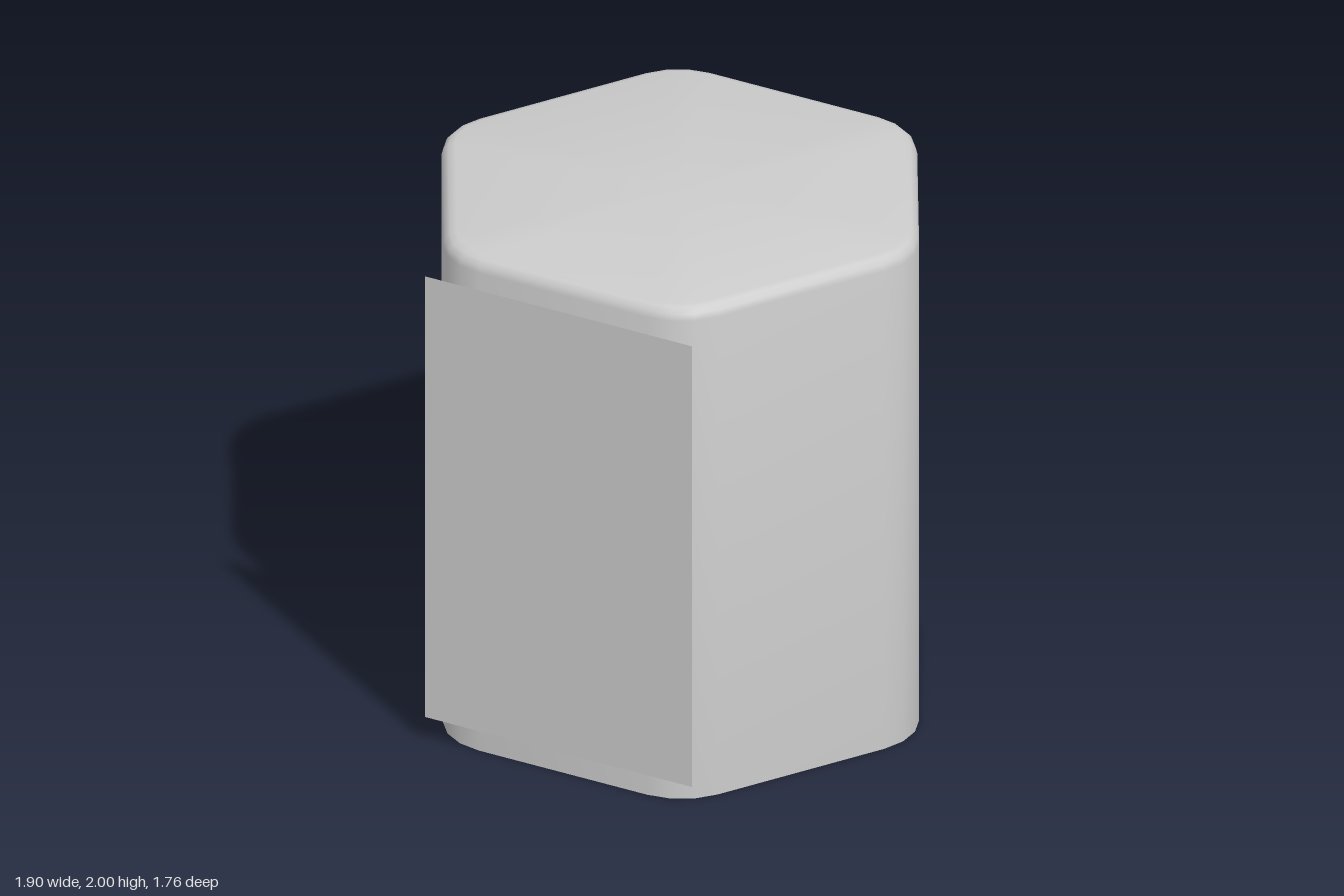
import * as THREE from 'three';
import { toCreasedNormals } from 'three/addons/utils/BufferGeometryUtils.js';

const APOTHEM = 0.861, CORNER = 0.255, CORNER_STEPS = 3;

// Rounded hexagon outline, moved inwards by inset
function outline(inset) {
  const r = CORNER - inset;
  const centre = (APOTHEM - CORNER) / Math.cos(Math.PI / 6);
  const points = [];
  for (let i = 0; i < 6; i++) {
    const corner = i * Math.PI / 3;
    for (let j = 0; j <= CORNER_STEPS; j++) {
      const a = corner + (j / CORNER_STEPS - 0.5) * Math.PI / 3;
      points.push([
        centre * Math.cos(corner) + r * Math.cos(a),
        centre * Math.sin(corner) + r * Math.sin(a),
      ]);
    }
  }
  return points;
}

// Stack of outlines, closed with a fan at both ends
function bodyGeometry() {
  const bevel = 0.05;
  const levels = [[0, 0]];
  for (let k = 0; k <= 3; k++) {
    const t = k / 3 * Math.PI / 2;
    levels.push([2 - bevel + bevel * Math.sin(t), bevel * (1 - Math.cos(t))]);
  }
  const positions = [], index = [];
  for (const [y, inset] of levels) {
    for (const [x, z] of outline(inset)) positions.push(x, y, z);
  }
  const n = 6 * (CORNER_STEPS + 1);
  const last = (levels.length - 1) * n;
  const bottom = levels.length * n, top = bottom + 1;
  positions.push(0, 0, 0, 0, 2, 0);
  for (let i = 0; i < n; i++) {
    const j = (i + 1) % n;
    for (let k = 0; k < last; k += n) {
      index.push(k + i, k + n + i, k + j, k + j, k + n + i, k + n + j);
    }
    index.push(bottom, i, j, top, last + j, last + i);
  }
  const geometry = new THREE.BufferGeometry();
  geometry.setAttribute('position', new THREE.Float32BufferAttribute(positions, 3));
  geometry.setIndex(index);
  return toCreasedNormals(geometry, 0.7);
}

export function createModel() {
  const group = new THREE.Group();

  // Six-sided body with rounded corners and a softened top edge
  const body = new THREE.Mesh(bodyGeometry(), new THREE.MeshStandardMaterial({ color: 0xcccccc }));
  body.name = 'body';
  body.position.z = -0.017;
  group.add(body);

  // Thin flat panel standing just off the front face
  const panel = new THREE.Mesh(
    new THREE.PlaneGeometry(1.11, 1.8),
    new THREE.MeshStandardMaterial({ color: 0xcccccc, side: THREE.DoubleSide })
  );
  panel.name = 'frontPanel';
  panel.position.set(0, 1, 0.878);
  group.add(panel);

  return group;
}
